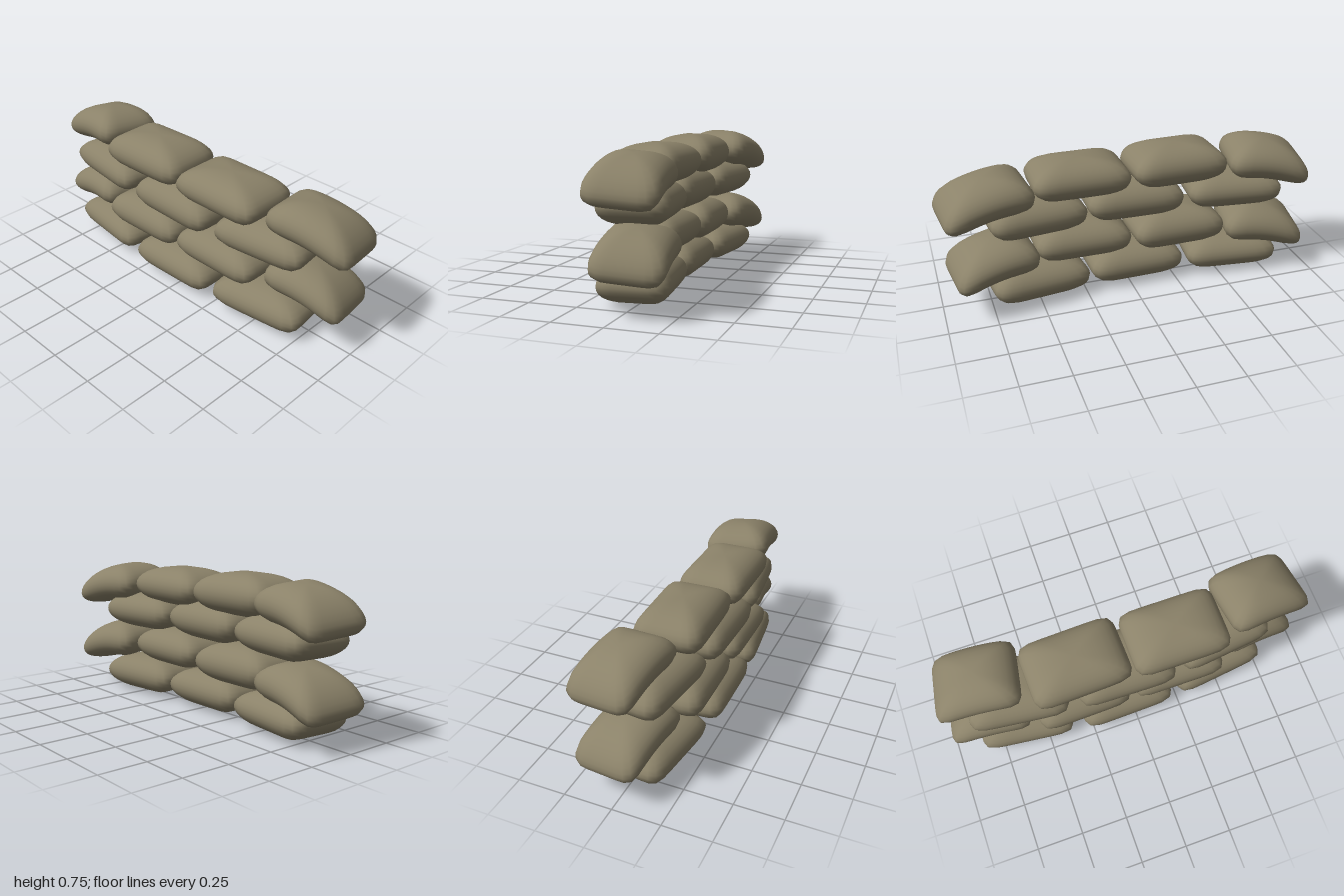
import * as THREE from 'three';
import { mergeVertices } from 'three/addons/utils/BufferGeometryUtils.js';

// Pillow-shaped bag: rounded rectangle in plan, swollen in the middle.
// droop lowers the end on the given side (-1 or 1) by a smooth bend.
function bagGeometry(width, height, depth, side = 0, droop = 0) {
  const sphere = new THREE.SphereGeometry(1, 40, 16);
  sphere.deleteAttribute('uv');
  sphere.deleteAttribute('normal');
  const geo = mergeVertices(sphere, 1e-4);
  const p = geo.attributes.position;
  for (let i = 0; i < p.count; i++) {
    const x = p.getX(i), y = p.getY(i), z = p.getZ(i);
    const s = Math.hypot(x, z);
    let u = 0, v = 0;
    if (s > 1e-4) {
      const c = Math.abs(x / s), d = Math.abs(z / s);
      const k = Math.pow(s, 0.83) / Math.pow(c ** 8 + d ** 8, 1 / 8);
      u = (x / s) * k;
      v = (z / s) * k;
    }
    const bend = Math.max(0, (u * side + 0.6) / 1.6);
    p.setXYZ(i, u * width / 2, y * height / 2 - droop * bend * bend, v * depth / 2);
  }
  geo.computeVertexNormals();
  return geo;
}

// Each bag: x from, x to, centre y, centre z, yaw, height, overhanging side
const courses = [
  [
    [-0.86, -0.32, 0.105, 0.02, -0.12, 0.2, 0],
    [-0.30, 0.22, 0.11, 0.06, 0.02, 0.21, 0],
    [0.225, 0.775, 0.11, 0.02, 0.12, 0.21, 0],
  ],
  [
    [-1.0, -0.515, 0.28, -0.03, -0.16, 0.21, -1],
    [-0.53, -0.02, 0.285, 0.045, 0.02, 0.22, 0],
    [0.0, 0.51, 0.295, 0.045, 0, 0.21, 0],
    [0.5, 0.965, 0.3, -0.045, 0.14, 0.21, 1],
  ],
  [
    [-0.865, -0.32, 0.48, 0.02, -0.12, 0.21, 0],
    [-0.30, 0.225, 0.48, 0.06, -0.02, 0.22, 0],
    [0.23, 0.77, 0.475, 0.02, 0.12, 0.21, 0],
  ],
  [
    [-1.0, -0.52, 0.655, -0.04, -0.16, 0.21, -1],
    [-0.53, -0.01, 0.645, 0.04, 0.03, 0.22, 0],
    [0.0, 0.51, 0.635, 0.045, 0, 0.21, 0],
    [0.505, 0.995, 0.63, -0.03, 0.13, 0.21, 1],
  ],
];

export function createModel() {
  const model = new THREE.Group();
  model.name = 'sandbagWall';
  const burlap = new THREE.MeshStandardMaterial({ color: 0x8b8269 });
  burlap.name = 'burlap';

  courses.forEach((bags, row) => {
    const course = new THREE.Group();
    course.name = `course${row + 1}`;
    bags.forEach(([x0, x1, y, z, yaw, height, side], i) => {
      // A turned bag is a little shorter so its footprint keeps the same span
      const depth = 0.35;
      const width = (x1 - x0) - Math.abs(Math.sin(yaw)) * depth * 0.8;
      const bag = new THREE.Mesh(
        bagGeometry(width, height, depth, side, side ? 0.085 : 0), burlap);
      bag.name = `sandbag${row + 1}_${i + 1}`;
      bag.position.set((x0 + x1) / 2, y, z);
      bag.rotation.order = 'YXZ';
      bag.rotation.y = yaw;
      bag.rotation.x = side ? -0.08 : 0; // loose end bags sag to the back
      course.add(bag);
    });
    model.add(course);
  });
  return model;
}
